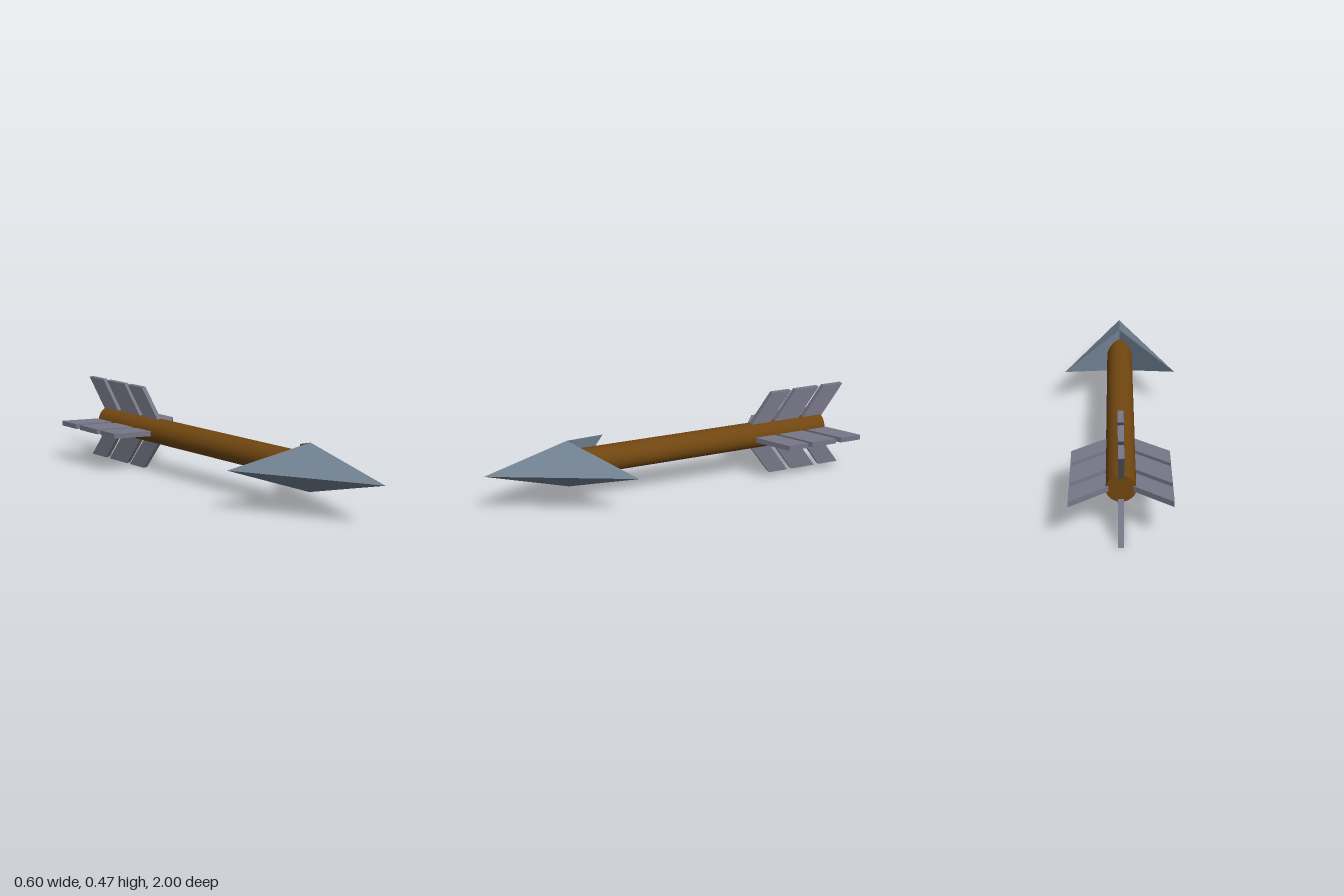
import * as THREE from 'three';

const AXIS_Y = 0.235; // height of the arrow's centre line

function createHead() {
  const top = [0, 0.128, 0.57], bottom = [0, -0.128, 0.57], tip = [0, 0, 1];
  const points = [];
  // each half is an upper, a lower and a notched back facet
  for (const s of [1, -1]) {
    const barb = [s * 0.302, 0, 0.29];
    for (const [a, b, c] of [[top, tip, barb], [bottom, barb, tip], [top, barb, bottom]]) {
      points.push(...a, ...(s > 0 ? [...b, ...c] : [...c, ...b]));
    }
  }
  const geometry = new THREE.BufferGeometry();
  geometry.setAttribute('position', new THREE.Float32BufferAttribute(points, 3));
  geometry.computeVertexNormals();
  const head = new THREE.Mesh(geometry, new THREE.MeshStandardMaterial({ color: 0x708090, flatShading: true }));
  head.name = 'arrowHead';
  return head;
}

// Slanted feather barb: x is the distance from the shaft axis
function createBarb(front, back, material) {
  const inner = 0.05, outer = 0.235, thickness = 0.028;
  const sweep = (outer - inner) * 0.7;
  const shape = new THREE.Shape([
    new THREE.Vector2(inner, front + sweep),
    new THREE.Vector2(inner, back + sweep),
    new THREE.Vector2(outer, back),
    new THREE.Vector2(outer, front),
  ]);
  const geometry = new THREE.ExtrudeGeometry(shape, { depth: thickness, bevelEnabled: false });
  geometry.translate(0, 0, -thickness / 2).rotateX(Math.PI / 2);
  const barb = new THREE.Mesh(geometry, material);
  barb.name = 'featherBarb';
  return barb;
}

export function createModel() {
  const model = new THREE.Group();
  model.name = 'arrow';
  const arrow = new THREE.Group();
  arrow.name = 'arrowBody';
  arrow.position.y = AXIS_Y;
  model.add(arrow);

  // Round shaft along z
  const back = -0.875, front = 0.57;
  const shaft = new THREE.Mesh(
    new THREE.CylinderGeometry(0.07, 0.07, front - back, 32).rotateX(Math.PI / 2),
    new THREE.MeshStandardMaterial({ color: 0x704610 })
  );
  shaft.position.z = (front + back) / 2;
  shaft.name = 'shaft';
  arrow.add(shaft, createHead());

  // Four feathers, each of three barbs
  const featherMaterial = new THREE.MeshStandardMaterial({ color: 0x777788, flatShading: true });
  for (let i = 0; i < 4; i++) {
    const feather = new THREE.Group();
    feather.name = 'feather';
    feather.rotation.z = i * Math.PI / 2;
    for (const [a, b] of [[-0.572, -0.684], [-0.71, -0.853], [-0.883, -1]]) {
      feather.add(createBarb(a, b, featherMaterial));
    }
    arrow.add(feather);
  }
  return model;
}
